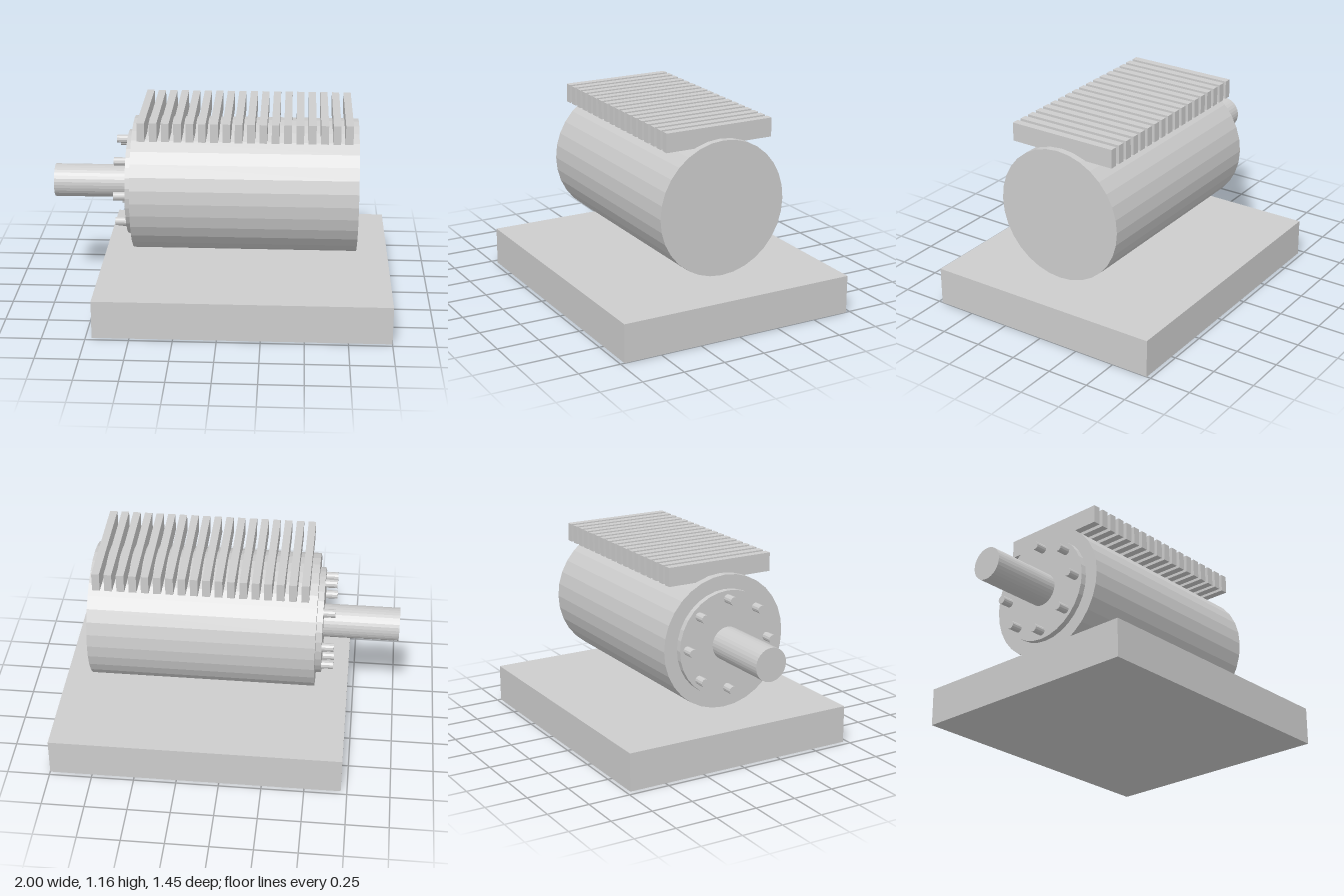
import * as THREE from 'three';

export function createModel() {
  const group = new THREE.Group();
  const grey = new THREE.MeshStandardMaterial({ color: 0xcccccc, flatShading: true });
  grey.name = 'light grey';
  const axisY = 0.695;

  const add = (name, geometry, x, y, z) => {
    const mesh = new THREE.Mesh(geometry, grey);
    mesh.name = name;
    mesh.position.set(x, y, z);
    group.add(mesh);
  };
  const box = (name, w, h, d, x, y, z) => add(name, new THREE.BoxGeometry(w, h, d), x, y, z);
  // Cylinder lying along x between two ends
  const rod = (name, r, x0, x1, y, z, sides) =>
    add(name, new THREE.CylinderGeometry(r, r, x1 - x0, sides).rotateZ(Math.PI / 2), (x0 + x1) / 2, y, z);

  // Base slab
  box('base', 1.714, 0.226, 1.45, 0.143, 0.113, 0);

  // Motor body, front flange and output shaft
  rod('body', 0.395, -0.52, 0.8, axisY, 0, 32);
  rod('flange', 0.312, -0.555, -0.52, axisY, 0, 32);
  rod('shaft', 0.098, -1, -0.555, axisY, 0, 32);

  // Ring of flange bolts
  for (let i = 0; i < 8; i++) {
    const a = (i * Math.PI) / 4;
    rod('bolt', 0.025, -0.625, -0.555, axisY + 0.265 * Math.cos(a), 0.265 * Math.sin(a), 12);
  }

  // Cooling fins across the top
  for (let i = 0; i < 18; i++) box('coolingFin', 0.044, 0.11, 0.67, -0.4525 + i * 0.07, 1.11, 0);

  return group;
}
